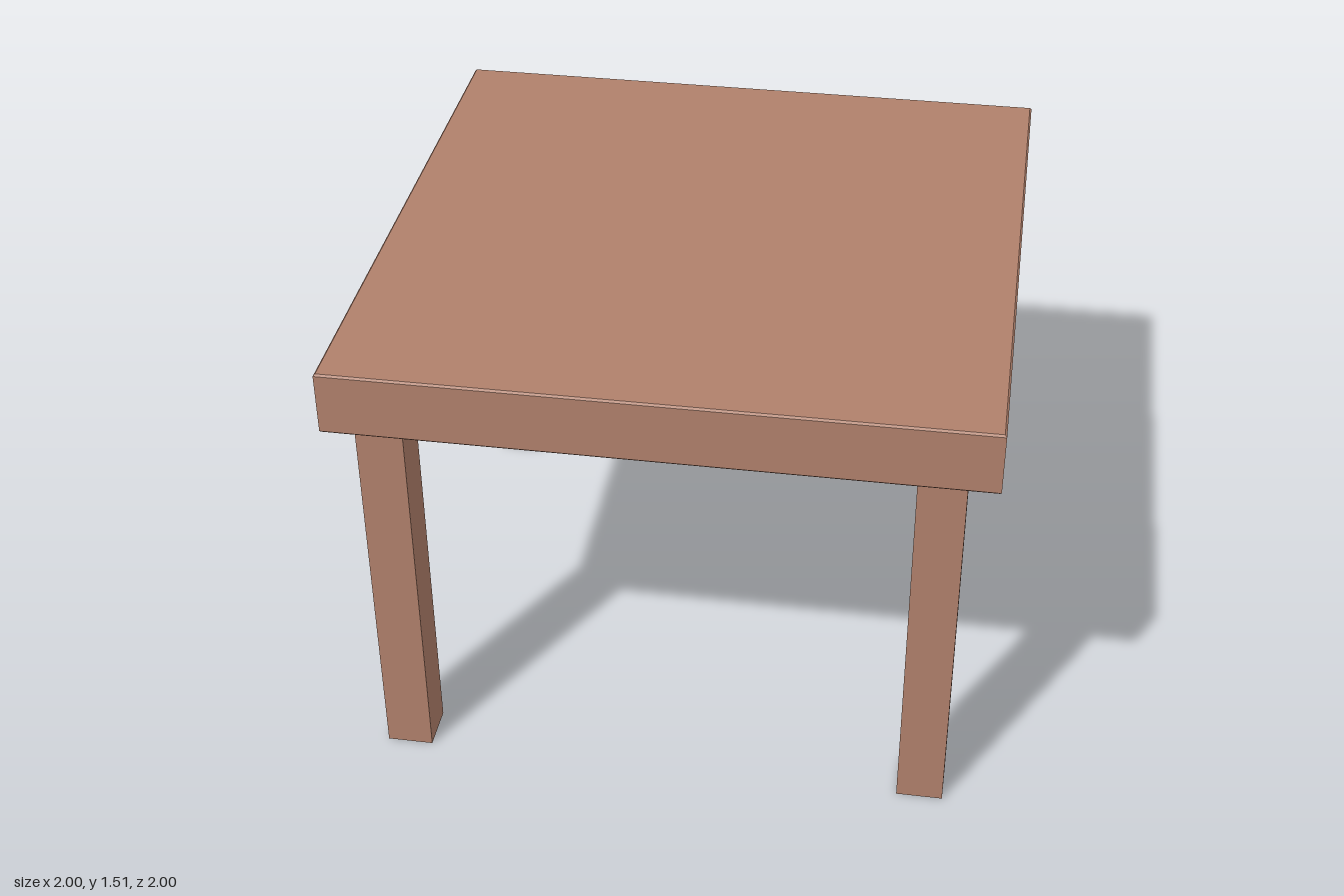
import * as THREE from 'three';

export function createModel() {
  const model = new THREE.Group();
  model.name = 'table';
  const wood = new THREE.MeshStandardMaterial({ color: 0xb0806b });
  wood.name = 'warm brown wood';

  // Square tabletop with a fine bevel around its upper and lower edges
  const bottom = 1.307, top = 1.513, bevel = 0.006;
  const half = 1 - bevel;
  const outline = new THREE.Shape([
    new THREE.Vector2(-half, -half), new THREE.Vector2(half, -half),
    new THREE.Vector2(half, half), new THREE.Vector2(-half, half),
  ]);
  const slab = new THREE.ExtrudeGeometry(outline, {
    depth: top - bottom - 2 * bevel,
    bevelEnabled: true, bevelThickness: bevel, bevelSize: bevel, bevelSegments: 1,
  });
  slab.rotateX(-Math.PI / 2).translate(0, bottom + bevel, 0);
  const tabletop = new THREE.Mesh(slab, wood);
  tabletop.name = 'tabletop';
  model.add(tabletop);

  // Four square legs, set slightly off centre under the top
  const legGeometry = new THREE.BoxGeometry(0.147, bottom, 0.147);
  const legs = [
    ['frontLeftLeg', 0.831, 0.831],
    ['frontRightLeg', -0.853, 0.831],
    ['backLeftLeg', 0.831, -0.839],
    ['backRightLeg', -0.853, -0.843],
  ];
  for (const [name, x, z] of legs) {
    const leg = new THREE.Mesh(legGeometry, wood);
    leg.name = name;
    leg.position.set(x, bottom / 2, z);
    model.add(leg);
  }
  return model;
}
